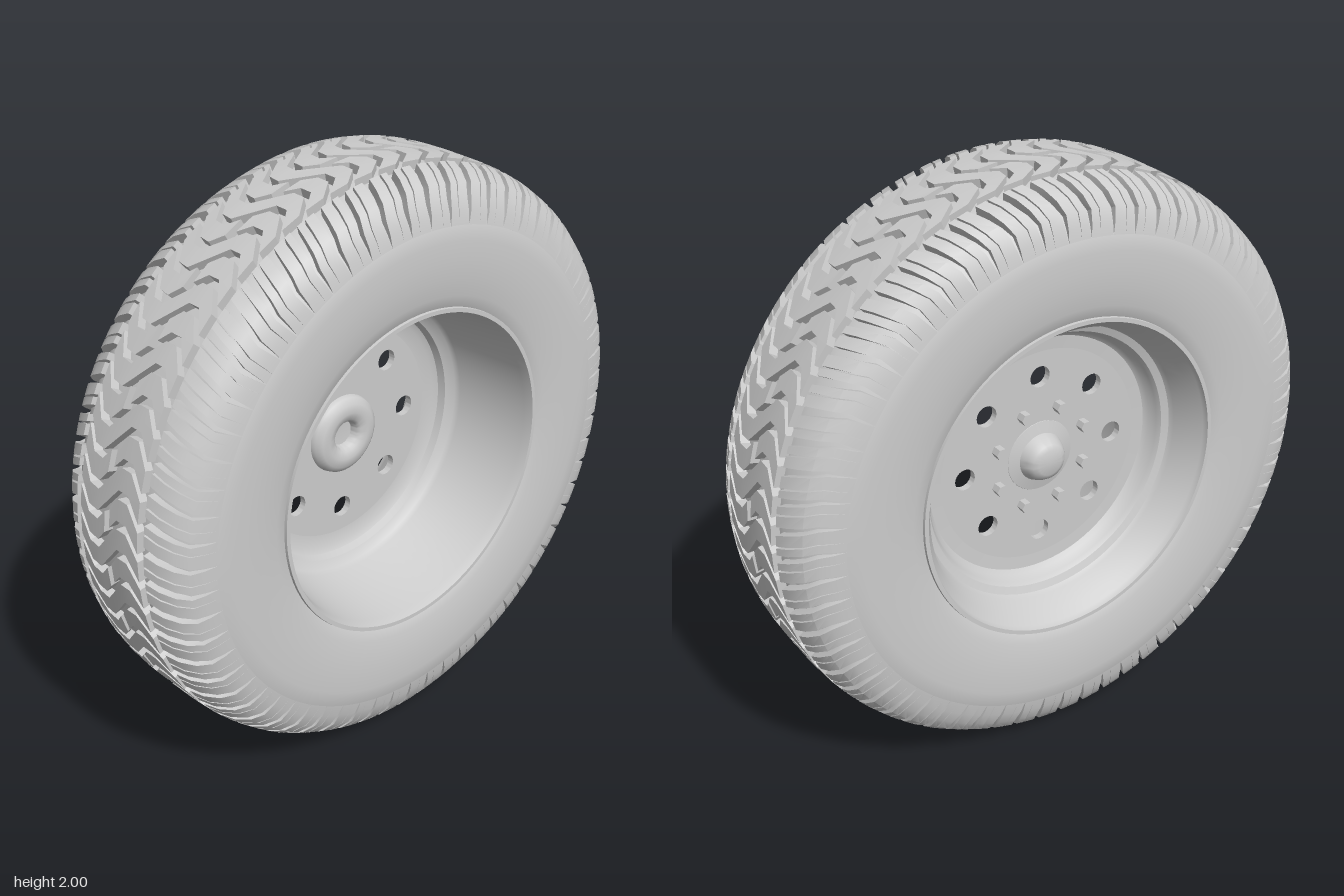
import * as THREE from 'three';
import { mergeGeometries, toCreasedNormals } from 'three/addons/utils/BufferGeometryUtils.js';

// Half of the tread section: [x, radius, groove depth]
const SECTION = [
  [0, 1, 0.03], [0.08, 0.9995, 0.03], [0.145, 0.995, 0.03], [0.168, 0.991, 0.03],
  [0.215, 0.977, 0.03], [0.258, 0.95, 0.028], [0.285, 0.912, 0.022],
  [0.3, 0.87, 0.012], [0.307, 0.83, 0],
];
const NORMALS = SECTION.map((p, i) => {
  if (i === 0) return new THREE.Vector2(0, 1);
  const a = SECTION[i - 1], b = SECTION[Math.min(i + 1, SECTION.length - 1)];
  return new THREE.Vector2(a[1] - b[1], b[0] - a[0]).normalize();
});

// Point [x, radius] on the tread at x, sunk by a share of the groove depth
function sectionAt(x, sink) {
  const ax = Math.abs(x);
  let i = 0;
  while (i < SECTION.length - 2 && ax > SECTION[i + 1][0]) i++;
  const a = SECTION[i], b = SECTION[i + 1];
  const t = Math.min(1, (ax - a[0]) / (b[0] - a[0]));
  const n = NORMALS[i].clone().lerp(NORMALS[i + 1], t);
  const d = THREE.MathUtils.lerp(a[2], b[2], t) * sink;
  const px = ax - n.x * d, r = THREE.MathUtils.lerp(a[1], b[1], t) - n.y * d;
  return [Math.sign(x) * px, r];
}

// Raised rubber bar along stations [x, angle, width], wrapped on the tyre
function treadBar(stations, turn) {
  const path = [...stations].sort((a, b) => a[0] - b[0]);
  const rings = path.map(([x, s, w]) => {
    const corner = (angle, sink) => {
      const [px, r] = sectionAt(x, sink);
      return [px, r * Math.sin(angle + turn), r * Math.cos(angle + turn)];
    };
    const lo = s - w / 2, hi = s + w / 2;
    return [corner(lo, -0.02), corner(hi, -0.02), corner(hi, 1.1), corner(lo, 1.1)];
  });
  const pos = [];
  const quad = (a, b, c, d) => pos.push(...a, ...b, ...c, ...a, ...c, ...d);
  for (let i = 0; i < rings.length - 1; i++) {
    const A = rings[i], B = rings[i + 1];
    for (let k = 0; k < 4; k++) quad(A[k], B[k], B[(k + 1) % 4], A[(k + 1) % 4]);
  }
  const first = rings[0], last = rings[rings.length - 1];
  quad(first[0], first[1], first[2], first[3]);
  quad(last[3], last[2], last[1], last[0]);
  const geo = new THREE.BufferGeometry();
  geo.setAttribute('position', new THREE.Float32BufferAttribute(pos, 3));
  return geo;
}

// Revolve [radius, x] points about the x axis
function revolve(points, segments, crease) {
  const geo = new THREE.LatheGeometry(points.map(p => new THREE.Vector2(p[0], p[1])), segments);
  geo.rotateZ(-Math.PI / 2);
  return toCreasedNormals(geo, crease);
}

export function createModel() {
  const model = new THREE.Group();
  model.name = 'wheel';
  const wheel = new THREE.Group();
  wheel.name = 'tyreAndRim';
  wheel.position.y = 1;
  model.add(wheel);

  const material = new THREE.MeshStandardMaterial({ color: 0xcccccc });
  const sheet = new THREE.MeshStandardMaterial({ color: 0xcccccc, side: THREE.DoubleSide });
  const add = (name, geo, mat = material) => {
    const mesh = new THREE.Mesh(geo, mat);
    mesh.name = name;
    wheel.add(mesh);
    return mesh;
  };

  // Tyre body: sidewalls plus the floor of the tread grooves
  const half = [[0.545, 0.28], [0.565, 0.293], [0.6, 0.301], [0.66, 0.309], [0.72, 0.312], [0.78, 0.311]];
  for (let i = SECTION.length - 1; i >= 1; i--) {
    const [x, r] = sectionAt(SECTION[i][0], 1);
    half.push([r, x]);
  }
  const body = [...half.map(([r, x]) => [r, -x]), ...half.reverse()];
  add('tyreBody', revolve(body, 128, 0.7), sheet);

  // Tread: zigzag centre bars and shoulder lugs in repeating pitches
  const pitches = 32, pitch = (Math.PI * 2) / pitches;
  const zigzag = [[-0.143, 0.035], [-0.095, -0.035], [-0.05, -0.04], [0.045, 0.065], [0.09, 0.065], [0.143, -0.005]];
  const centre = [], shoulder = [];
  const lugXs = SECTION.slice(3).map(p => p[0]);
  const widths = [0.7, 0.74, 0.76, 0.8, 0.88, 0.97];
  for (let i = 0; i < pitches * 2; i++) {
    const turn = i * pitch / 2;
    const bar = zigzag.map(([x, s]) => [x, s, 0.07]);
    if (i % 2) {
      // Every second bar is split across its diagonal
      centre.push(treadBar([...bar.slice(0, 3), [-0.015, 0, 0.07]], turn));
      centre.push(treadBar([[0.01, 0.026, 0.07], ...bar.slice(3)], turn));
    } else {
      centre.push(treadBar(bar, turn));
    }
    for (const side of [-1, 1]) {
      // Each lug is a wide and a narrow half parted by a thin slit
      const share = i % 2 ? 0.6 : 0.42;
      const lug = (from, to) => lugXs.map((x, k) => {
        const w = widths[k] * pitch / 2;
        const slit = 0.008 * (1 - k / 5);
        const lo = -w / 2 + w * from + (from > 0 ? slit / 2 : 0);
        const hi = -w / 2 + w * to - (to < 1 ? slit / 2 : 0);
        return [side * x, (lo + hi) / 2 + 0.03 - 0.05 * Math.min(1, k / 3), hi - lo];
      });
      const shift = turn + (side > 0 ? 0 : 0.025);
      shoulder.push(treadBar(lug(0, share), shift), treadBar(lug(share, 1), shift));
    }
  }
  add('centreTread', toCreasedNormals(mergeGeometries(centre), 0.4));
  add('shoulderLugs', toCreasedNormals(mergeGeometries(shoulder), 0.4));

  // Rim: outer dish, web around the disc, and deep inner barrel
  add('rim', revolve([
    [0.545, -0.27], [0.562, -0.285], [0.56, -0.3], [0.546, -0.3], [0.54, -0.28],
    [0.515, -0.255], [0.495, -0.18], [0.485, -0.165], [0.46, -0.155], [0.45, -0.14],
    [0.44, -0.11], [0.425, -0.098], [0.38, -0.095], [0.38, -0.07],
    [0.425, -0.066], [0.445, -0.055], [0.455, -0.03], [0.485, -0.012], [0.495, 0.005],
    [0.535, 0.27], [0.546, 0.3], [0.56, 0.3], [0.562, 0.285], [0.545, 0.27],
  ], 96, 0.6), sheet);

  // Centre disc with a circle of round openings
  const disc = new THREE.Shape().absarc(0, 0, 0.382, 0, Math.PI * 2);
  disc.holes.push(new THREE.Path().absarc(0, 0, 0.12, 0, Math.PI * 2, true));
  for (let i = 0; i < 8; i++) {
    const a = i * Math.PI / 4;
    disc.holes.push(new THREE.Path().absarc(0.29 * Math.cos(a), 0.29 * Math.sin(a), 0.037, 0, Math.PI * 2, true));
  }
  const discGeo = new THREE.ExtrudeGeometry(disc, { depth: 0.025, bevelEnabled: false, curveSegments: 32 });
  discGeo.rotateY(Math.PI / 2).translate(-0.095, 0, 0);
  add('centreDisc', toCreasedNormals(discGeo, 0.5));

  // Hub: raised cap outside, rounded boss with a pocket inside
  add('hub', revolve([
    [0, -0.16], [0.045, -0.158], [0.062, -0.15], [0.075, -0.13], [0.085, -0.105], [0.125, -0.096],
    [0.14, -0.071], [0.135, -0.052], [0.115, -0.037], [0.085, -0.033], [0.06, -0.04],
    [0.05, -0.05], [0.045, -0.075], [0, -0.078],
  ], 48, 0.7), sheet);

  // Wheel nuts on the outer face
  for (let i = 0; i < 8; i++) {
    const a = (i + 0.5) * Math.PI / 4;
    const nut = new THREE.CylinderGeometry(0.021, 0.021, 0.035, 6).toNonIndexed();
    nut.computeVertexNormals();
    nut.rotateZ(Math.PI / 2);
    const mesh = add('wheelNut', nut);
    mesh.position.set(-0.11, 0.18 * Math.sin(a), 0.18 * Math.cos(a));
  }
  return model;
}
